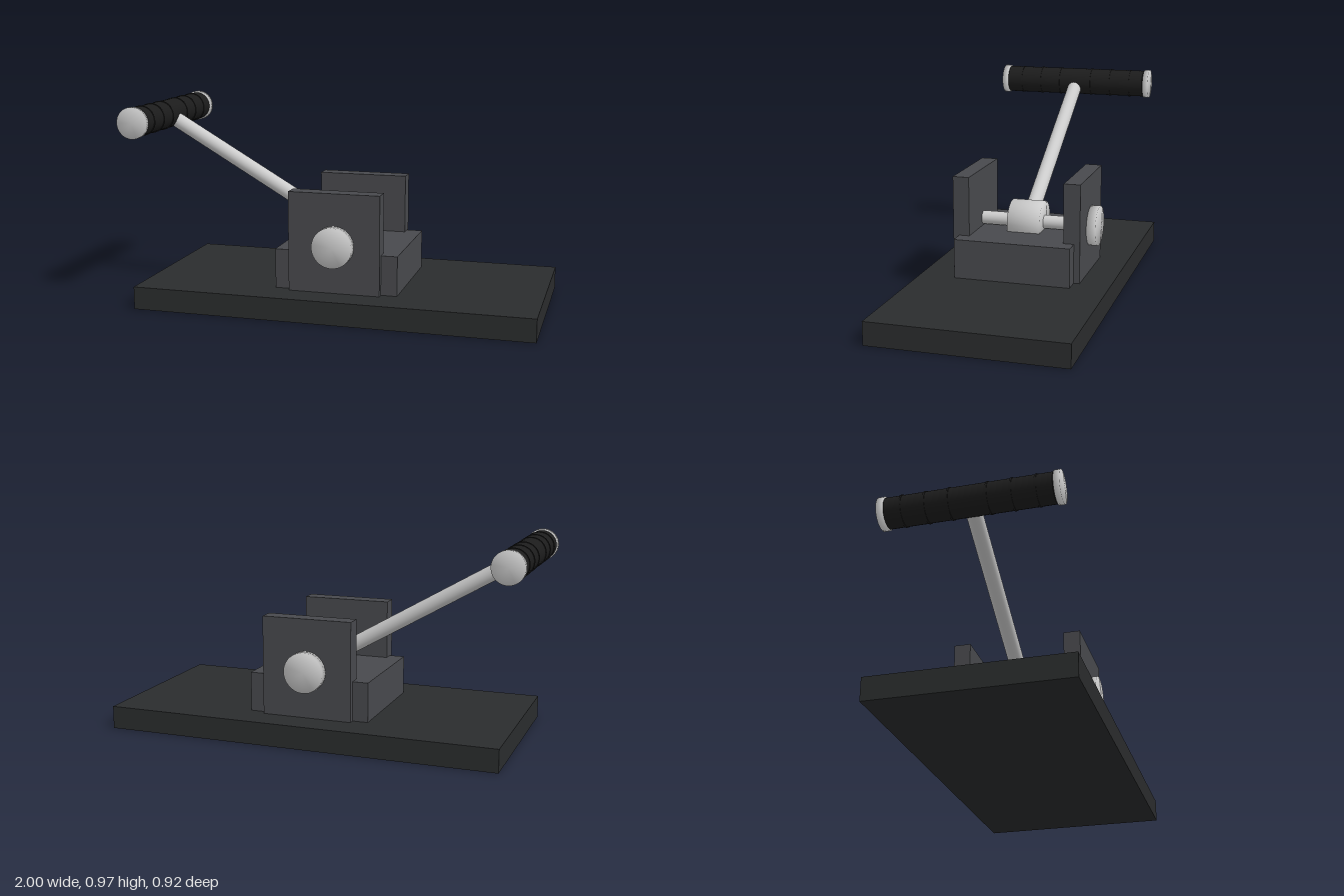
import * as THREE from 'three';
import { mergeVertices } from 'three/addons/utils/BufferGeometryUtils.js';

const steel = new THREE.MeshStandardMaterial({ color: 0xcccccc });
const baseMat = new THREE.MeshStandardMaterial({ color: 0x2a2c2d });
const bracketMat = new THREE.MeshStandardMaterial({ color: 0x48494d });
const gripMat = new THREE.MeshStandardMaterial({ color: 0x1c1c1c });

const PIVOT = new THREE.Vector3(0.037, 0.337, 0);
const GRIP = new THREE.Vector3(-0.924, 0.893, 0);

export function createModel() {
  const model = new THREE.Group();
  model.name = 'leverAssembly';

  const add = (name, geometry, material) => {
    const mesh = new THREE.Mesh(geometry, material);
    mesh.name = name;
    model.add(mesh);
    return mesh;
  };

  // Box given by its extents on each axis
  const box = (name, [x0, x1], [y0, y1], [z0, z1], material) =>
    add(name, new THREE.BoxGeometry(x1 - x0, y1 - y0, z1 - z0), material)
      .position.set((x0 + x1) / 2, (y0 + y1) / 2, (z0 + z1) / 2);

  // Cylinder along z; soft shares normals across the rim for a domed shading
  const cylinder = (name, centre, radius, z0, z1, material, soft = false) => {
    let geometry = new THREE.CylinderGeometry(radius, radius, z1 - z0, 40);
    if (soft) {
      geometry.deleteAttribute('uv');
      geometry.deleteAttribute('normal');
      geometry = mergeVertices(geometry);
      geometry.computeVertexNormals();
    }
    geometry.rotateX(Math.PI / 2);
    const mesh = add(name, geometry, material);
    mesh.position.set(centre.x, centre.y, (z0 + z1) / 2);
    return mesh;
  };

  // Base and pivot block
  box('basePlate', [-0.92, 1], [0, 0.11], [-0.46, 0.46], baseMat);
  box('pivotBlock', [-0.26, 0.335], [0.11, 0.3], [-0.283, 0.283], bracketMat);

  // Axle and hub
  cylinder('axle', PIVOT, 0.033, -0.32, 0.32, steel);
  cylinder('hub', PIVOT, 0.102, -0.081, 0.081, steel, true);

  // Lever arm from the hub to the grip
  const arm = add('leverArm',
    new THREE.CylinderGeometry(0.037, 0.037, PIVOT.distanceTo(GRIP), 32), steel);
  arm.position.copy(PIVOT).add(GRIP).multiplyScalar(0.5);
  arm.quaternion.setFromUnitVectors(
    new THREE.Vector3(0, 1, 0), GRIP.clone().sub(PIVOT).normalize());

  // Grip
  cylinder('grip', GRIP, 0.07, -0.38, 0.38, gripMat);

  // Mirrored parts on both sides
  for (const side of [1, -1]) {
    const span = (a, b) => (side > 0 ? [a, b] : [-b, -a]);
    box('sidePlate', [-0.185, 0.257], [0.11, 0.587], span(0.232, 0.312), bracketMat);
    cylinder('axleCap', PIVOT, 0.097, ...span(0.312, 0.356), steel, true);
    cylinder('gripCap', GRIP, 0.076, ...span(0.384, 0.412), steel, true);
    for (const z of [0.087, 0.195, 0.304]) {
      cylinder('gripRing', GRIP, 0.073, ...span(z - 0.004, z + 0.004), gripMat);
    }
  }
  return model;
}
